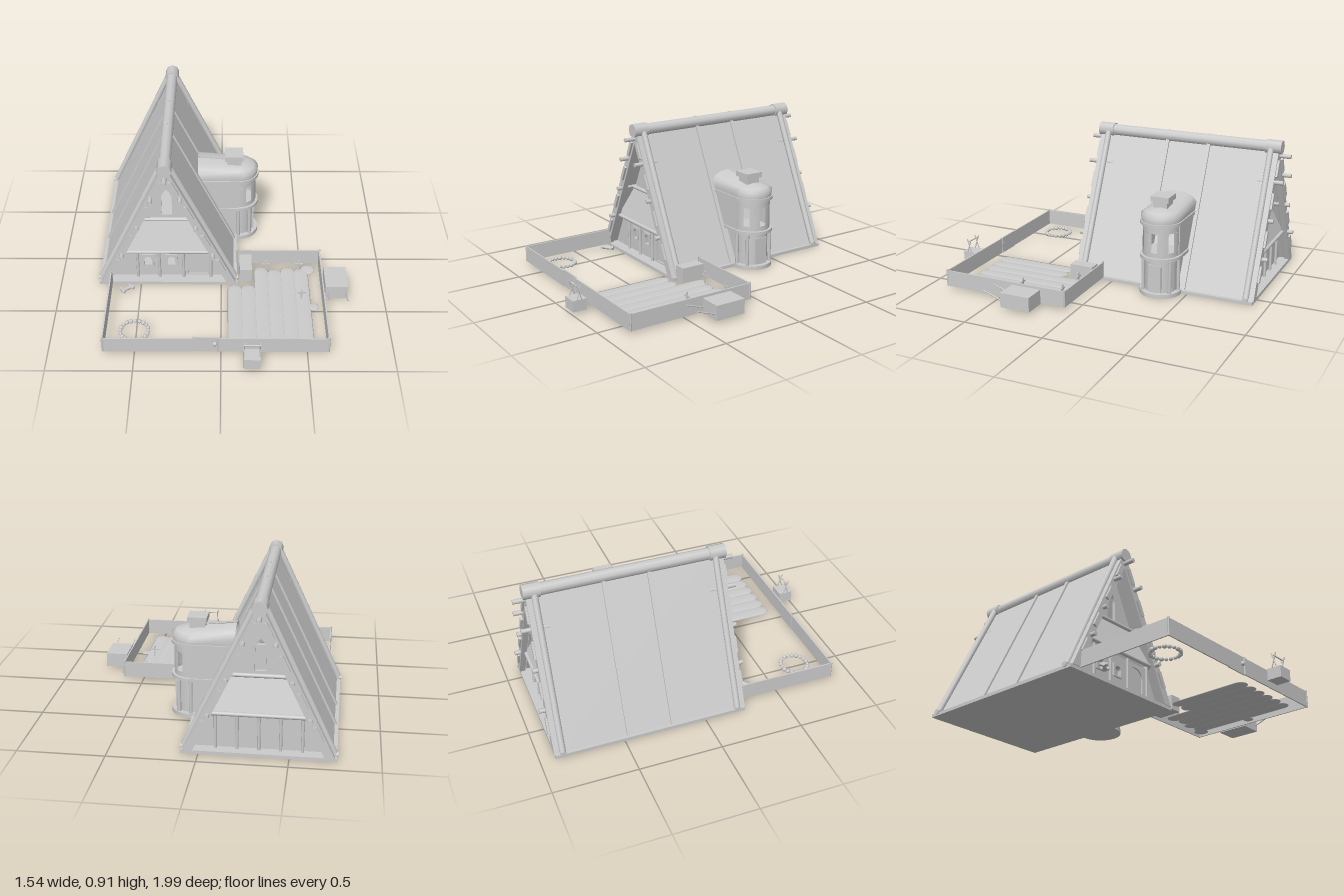
import * as THREE from 'three';

const mat = new THREE.MeshStandardMaterial({ color: 0xcccccc, side: THREE.DoubleSide });
const CX = -0.33, CZ = -0.33; // centre of the house

export function createModel() {
  const root = new THREE.Group();
  const group = (name, parent = root) => {
    const g = new THREE.Group();
    g.name = name;
    parent.add(g);
    return g;
  };
  const add = (name, geo, parent = root, x = 0, y = 0, z = 0) => {
    const m = new THREE.Mesh(geo, mat);
    m.name = name;
    m.position.set(x, y, z);
    parent.add(m);
    return m;
  };
  // Box given by its limits on each axis
  const box = (name, x0, x1, y0, y1, z0, z1, parent) =>
    add(name, new THREE.BoxGeometry(x1 - x0, y1 - y0, z1 - z0), parent,
      (x0 + x1) / 2, (y0 + y1) / 2, (z0 + z1) / 2);
  // Round bar between two points
  const bar = (name, a, b, r, parent, sides = 10) => {
    const p = new THREE.Vector3(...a), q = new THREE.Vector3(...b), d = q.clone().sub(p);
    const m = add(name, new THREE.CylinderGeometry(r, r, d.length(), sides), parent);
    m.position.copy(p).add(q).multiplyScalar(0.5);
    m.quaternion.setFromUnitVectors(new THREE.Vector3(0, 1, 0), d.normalize());
    return m;
  };
  const shapeOf = pts => new THREE.Shape(pts.map(p => new THREE.Vector2(...p)));
  const extrude = (shape, depth) =>
    new THREE.ExtrudeGeometry(shape, { depth, bevelEnabled: false, curveSegments: 12 });

  // Arched opening; pointed arches narrow to a tip
  const arch = (x, y0, y1, w, pointed) => {
    const p = new THREE.Path(), h = w / 2;
    p.moveTo(x - h, y0);
    p.lineTo(x + h, y0);
    if (pointed) {
      p.lineTo(x + h, y1 - w);
      p.quadraticCurveTo(x + h, y1 - h, x, y1);
      p.quadraticCurveTo(x - h, y1 - h, x - h, y1 - w);
    } else {
      p.lineTo(x + h, y1 - h);
      p.absarc(x, y1 - h, h, 0, Math.PI);
    }
    p.closePath();
    return p;
  };

  // ---- House: steep roof of two slopes ----
  const house = group('house');
  const K = 2.1; // steepness of the roof
  const half = y => 0.385 - (y - 0.02) / K; // inside half width at a height
  const chevron = (name, w, t, z0, z1) => add(name, extrude(shapeOf([
    [-w, 0.02], [0, 0.02 + w * K], [w, 0.02],
    [w - t, 0.02], [0, 0.02 + (w - t) * K], [t - w, 0.02]]), z1 - z0), house, CX, 0, z0);

  box('floor', -0.76, 0.1, 0, 0.02, -0.91, 0.25, house);
  chevron('roofPanels', 0.408, 0.028, -0.87, 0.21);
  for (const z of [-0.2, -0.47]) chevron('roofRib', 0.42, 0.03, z - 0.011, z + 0.011);
  bar('ridgeBeam', [CX, 0.862, -0.9], [CX, 0.862, 0.24], 0.036, house);

  for (const s of [1, -1]) {
    const Z = d => CZ + s * d; // distance out from the middle of the house
    const slab = (name, geo, d, depth, parent) => add(name, geo, parent, CX, 0, Z(d) - depth / 2);
    const gable = group(s > 0 ? 'frontGable' : 'backGable', house);

    // Edge boards, rafters and ridge cap
    const [za, zb] = [Z(0.55), Z(0.585)].sort((a, b) => a - b);
    chevron('edgeBoards', 0.418, 0.055, za, zb);
    for (const m of [-1, 1]) {
      bar('rafter', [CX + m * 0.415, 0.03, Z(0.535)], [CX + m * 0.025, 0.86, Z(0.535)], 0.019, gable);
      bar('rafterFoot', [CX + m * 0.435, 0.025, Z(0.535)], [CX + m * 0.39, 0.025, Z(0.535)], 0.017, gable);
    }
    bar('ridgeCap', [CX, 0.862, Z(0.5)], [CX, 0.862, Z(0.6)], 0.044, gable, 8);

    // Purlin ends poking out along the slopes
    const purlin = (x, y, d) => bar('purlin', [x, y, Z(0.48)], [x, y, Z(d)], 0.0135, gable, 8);
    purlin(CX, 0.81, 0.655);
    for (const m of [-1, 1]) {
      purlin(CX + m * 0.088, 0.667, 0.64);
      purlin(CX + m * 0.178, 0.45, 0.615);
      purlin(CX + m * 0.278, 0.24, 0.62);
      // Short blocks behind the purlin ends
      for (const y of [0.16, 0.35, 0.56, 0.74]) {
        const b = box('edgeBlock', -0.012, 0.012, -0.05, 0.05, -0.012, 0.012, gable);
        b.position.set(CX + m * (half(y) + 0.008), y, Z(0.585));
        b.rotation.z = m * Math.atan(1 / K);
      }
    }

    // Attic wall with a tall pointed window
    const attic = shapeOf([[-half(0.45), 0.45], [half(0.45), 0.45], [0, 0.82]]);
    attic.holes.push(arch(0, 0.47, 0.655, 0.064, true));
    slab('atticWall', extrude(attic, 0.02), 0.47, 0.02, gable);

    // Leaning wall of the middle storey
    const lean = extrude(shapeOf([[-half(0.24), 0.24], [half(0.24), 0.24],
      [half(0.45), 0.45], [-half(0.45), 0.45]]), 0.015);
    const p = lean.attributes.position;
    for (let i = 0; i < p.count; i++) p.setZ(i, p.getZ(i) + s * 0.07 * (0.45 - p.getY(i)) / 0.21);
    lean.computeVertexNormals();
    slab('middleWall', lean, 0.475, 0.015, gable);

    // Floor beams
    for (const [y, d] of [[0.24, 0.555], [0.45, 0.5]])
      bar('floorBeam', [CX - half(y) - 0.01, y, Z(d)], [CX + half(y) + 0.01, y, Z(d)], 0.012, gable);

    // Ground storey with windows, door and posts
    const low = shapeOf([[-half(0.02), 0.02], [half(0.02), 0.02], [half(0.24), 0.24], [-half(0.24), 0.24]]);
    if (s > 0) {
      for (const x of [-0.125, 0.02]) low.holes.push(arch(x, 0.11, 0.17, 0.052));
      low.holes.push(arch(0.185, 0.03, 0.215, 0.12));
    }
    slab('groundWall', extrude(low, 0.02), 0.5, 0.02, gable);
    const posts = s > 0 ? [-0.19, -0.055, 0.095, 0.265] : [-0.24, -0.12, 0, 0.12, 0.24];
    for (const x of posts) bar('post', [CX + x, 0.02, Z(0.525)], [CX + x, 0.24, Z(0.525)], 0.009, gable, 8);
    if (s > 0) {
      for (const x of [-0.125, 0.02]) {
        const frame = shapeOf([[x - 0.036, 0.1], [x + 0.036, 0.1], [x + 0.036, 0.185], [x - 0.036, 0.185]]);
        frame.holes.push(arch(x, 0.11, 0.17, 0.046));
        slab('windowFrame', extrude(frame, 0.012), 0.514, 0.012, gable);
      }
      slab('door', extrude(new THREE.Shape(arch(0.185, 0.025, 0.215, 0.125).getPoints(12)), 0.012), 0.495, 0.012, gable);
    }
  }

  // ---- Side tower with a rounded end ----
  const tower = group('tower');
  const TX = 0.11, TZ = -0.335; // centre of the rounded end
  const dPlan = (r, back) => {
    const s = new THREE.Shape();
    s.moveTo(back, -r);
    s.lineTo(TX, -r);
    s.absarc(TX, 0, r, -Math.PI / 2, Math.PI / 2);
    s.lineTo(back, r);
    s.closePath();
    return s;
  };
  const storey = (name, r, y0, y1, back) => {
    const g = extrude(dPlan(r, back), y1 - y0);
    g.rotateX(-Math.PI / 2);
    return add(name, g, tower, 0, y0, TZ);
  };
  storey('towerBase', 0.128, 0, 0.025, 0);
  storey('towerLowerWall', 0.098, 0.025, 0.235, -0.02);
  storey('towerFloorRing', 0.128, 0.23, 0.25, -0.04);
  storey('towerRoofRing', 0.128, 0.442, 0.462, -0.14);
  for (const a of [-90, -50, 50, 90]) {
    const c = TX + 0.113 * Math.cos(a * Math.PI / 180), d = TZ + 0.113 * Math.sin(a * Math.PI / 180);
    bar('towerPost', [c, 0.02, d], [c, 0.235, d], 0.011, tower, 8);
  }
  box('towerDoor', 0.19, 0.212, 0.03, 0.2, TZ - 0.04, TZ + 0.04, tower);

  // Upper wall: curved segments leave three slot windows
  const wallR = 0.112;
  const arcWall = (a0, a1, y0, y1) => add('towerUpperWall', new THREE.CylinderGeometry(
    wallR, wallR, y1 - y0, 8, 1, true, Math.PI / 2 + a0, a1 - a0), tower, TX, (y0 + y1) / 2, TZ);
  arcWall(-Math.PI / 2, Math.PI / 2, 0.25, 0.28);
  arcWall(-Math.PI / 2, Math.PI / 2, 0.4, 0.445);
  const gaps = [-Math.PI / 2, -0.95, 0, 0.95, Math.PI / 2];
  for (let i = 0; i < 4; i++)
    arcWall(gaps[i] + (i ? 0.17 : 0), gaps[i + 1] - (i < 3 ? 0.17 : 0), 0.28, 0.4);
  for (const s of [-1, 1])
    box('towerSideWall', -0.14, TX, 0.25, 0.445, TZ + s * wallR - 0.006, TZ + s * wallR + 0.006, tower);

  // Domed roof lofted from shrinking outlines
  const loops = [[0.12, 0.46, 0.46], [0.124, 0.5, 0.51], [0.1, 0.52, 0.542], [0.06, 0.533, 0.56], [0.004, 0.54, 0.568]];
  const pos = [], idx = [], N = 16;
  for (const [r, yFront, yBack] of loops) {
    for (let i = 0; i <= N; i++) {
      const a = -Math.PI / 2 + Math.PI * (i - 1) / (N - 2);
      const end = i === 0 || i === N;
      const z = i === 0 ? -r : i === N ? r : r * Math.sin(a);
      pos.push(end ? -0.15 : TX + r * Math.cos(a), end ? yBack : yFront, TZ + z);
    }
  }
  for (let j = 0; j < loops.length - 1; j++) {
    for (let i = 0; i < N; i++) {
      const a = j * (N + 1) + i, b = a + N + 1;
      idx.push(a, b, a + 1, a + 1, b, b + 1);
    }
  }
  const dome = new THREE.BufferGeometry();
  dome.setAttribute('position', new THREE.Float32BufferAttribute(pos, 3));
  dome.setIndex(idx);
  dome.computeVertexNormals();
  add('towerRoof', dome, tower);
  box('chimney', 0.034, 0.126, 0.52, 0.58, -0.375, -0.285, tower);
  box('chimneyCap', 0.022, 0.138, 0.572, 0.605, -0.388, -0.272, tower);

  // ---- Yard fence and gate ----
  const fence = group('fence');
  const T = 0.004;
  box('fenceLeft', -0.68 - T, -0.68 + T, 0.02, 0.12, 0.25, 0.86, fence);
  box('fenceRight', 0.62 - T, 0.62 + T, 0.02, 0.12, 0.06, 0.86, fence);
  box('fenceBack', 0.1, 0.62, 0.02, 0.12, 0.06 - T, 0.06 + T, fence);
  box('fenceFrontA', -0.68, -0.16, 0.02, 0.12, 0.86 - T, 0.86 + T, fence);
  box('fenceFrontB', -0.02, 0.62, 0.02, 0.12, 0.86 - T, 0.86 + T, fence);
  box('gate', -0.165, -0.015, 0.02, 0.125, 0.855 - T, 0.855 + T, fence);
  bar('gatePost', [-0.015, 0.02, 0.86], [-0.015, 0.125, 0.86], 0.007, fence, 8);
  add('gateKnob', new THREE.SphereGeometry(0.014, 10, 8), fence, -0.035, 0.08, 0.862);
  for (const [x, z] of [[0.62, 0.06], [0.62, 0.86], [-0.68, 0.86], [0.1, 0.06]])
    bar('fencePost', [x, 0.02, z], [x, 0.125, z], 0.007, fence, 8);

  // ---- Garden beds with grave-like cross markers ----
  const garden = group('garden');
  const bed = (x, z0, z1, r) => {
    const m = add('gardenRow', new THREE.CapsuleGeometry(r, z1 - z0 - 2 * r, 6, 14), garden, x, 0.02, (z0 + z1) / 2);
    m.rotation.x = Math.PI / 2;
    m.scale.z = 0.12;
  };
  const starts = [0.28, 0.28, 0.11, 0.13, 0.11, 0.12];
  starts.forEach((z, i) => bed(0.085 + i * 0.083, z, 0.8, 0.045));
  for (const [x, z, r] of [[0.545, 0.13, 0.045], [0.56, 0.48, 0.032]])
    add('gardenPatch', new THREE.SphereGeometry(r, 12, 8), garden, x, 0.02, z).scale.y = 0.12;
  for (const [x, z] of [[0.28, 0.14], [0.49, 0.14], [0.49, 0.41]]) {
    box('markerStake', x - 0.005, x + 0.005, 0.02, 0.1, z - 0.004, z + 0.004, garden);
    box('markerBar', x - 0.025, x + 0.025, 0.07, 0.08, z - 0.004, z + 0.004, garden);
  }

  // ---- Ring of stones and firewood ----
  const ring = group('stoneRing');
  for (let i = 0; i < 20; i++) {
    const a = i * Math.PI / 10;
    const m = add('stone', new THREE.IcosahedronGeometry(0.011 + 0.003 * (i % 3) / 2, 1), ring,
      -0.51 + 0.083 * Math.cos(a), 0.03, 0.7 + 0.083 * Math.sin(a));
    m.rotation.y = i;
  }
  const logs = group('firewood');
  bar('log', [-0.615, 0.035, 0.355], [-0.545, 0.035, 0.305], 0.012, logs);
  for (const [x, z] of [[-0.605, 0.348], [-0.555, 0.312]])
    bar('crossLog', [x - 0.014, 0.035, z - 0.018], [x + 0.014, 0.035, z + 0.018], 0.01, logs);

  // ---- Crate, cart and trough around the yard ----
  box('crate', 0.115, 0.19, 0.02, 0.11, 0.09, 0.24);
  const cart = group('cart');
  box('cartBody', 0.635, 0.772, 0.02, 0.11, 0.21, 0.4, cart);
  for (const x of [0.65, 0.76]) bar('cartHandle', [x, 0.055, 0.39], [x, 0.1, 0.52], 0.004, cart, 8);
  const trough = group('trough');
  box('troughBody', 0.13, 0.225, 0.02, 0.088, 0.912, 1.0, trough);
  for (const x of [0.133, 0.222])
    for (const s of [-1, 1])
      bar('troughFrame', [x, 0.085, 0.958 - s * 0.016], [x, 0.175, 0.958 + s * 0.014], 0.0035, trough, 8);
  bar('troughCrossbar', [0.128, 0.16, 0.958], [0.227, 0.16, 0.958], 0.004, trough, 8);

  return root;
}
